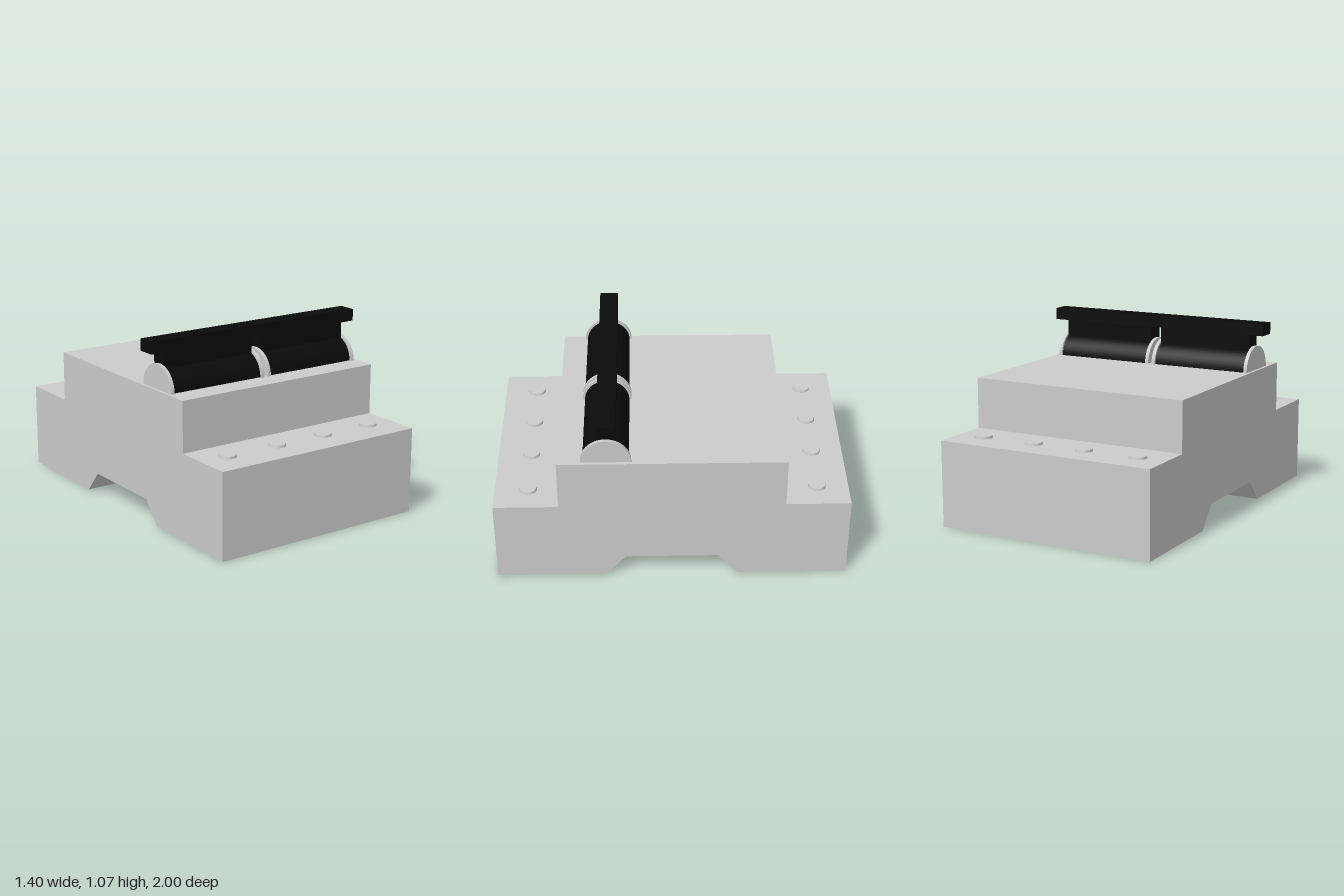
import * as THREE from 'three';
import { toCreasedNormals } from 'three/addons/utils/BufferGeometryUtils.js';

const grey = new THREE.MeshStandardMaterial({ color: 0xcccccc });
const black = new THREE.MeshStandardMaterial({ color: 0x0a0a0a });

export function createModel() {
  const model = new THREE.Group();
  model.name = 'circuitBreaker';

  const add = (name, geometry, material, parent = model) => {
    const mesh = new THREE.Mesh(geometry, material);
    mesh.name = name;
    parent.add(mesh);
    return mesh;
  };

  // Sweeps a side profile (z, y) along x from x0 to x1
  const sweep = (shape, x0, x1) => {
    const g = new THREE.ExtrudeGeometry(shape, { depth: x1 - x0, bevelEnabled: false, curveSegments: 32 });
    g.rotateY(-Math.PI / 2).translate(x1, 0, 0);
    return toCreasedNormals(g, 0.5);
  };

  const box = (x0, x1, y0, y1, z0, z1) =>
    new THREE.BoxGeometry(x1 - x0, y1 - y0, z1 - z0)
      .translate((x0 + x1) / 2, (y0 + y1) / 2, (z0 + z1) / 2);

  // Stepped housing with the rail channel underneath
  const halfProfile = [[0.265, 0.13], [0.375, 0], [1, 0], [1, 0.497], [0.635, 0.497], [0.635, 0.79]];
  const profile = [
    ...halfProfile.map(([z, y]) => new THREE.Vector2(z, y)),
    ...halfProfile.map(([z, y]) => new THREE.Vector2(-z, y)).reverse(),
  ];
  add('housing', sweep(new THREE.Shape(profile), -0.655, 0.655), grey);

  // Terminal screws on both ledges
  for (const z of [0.81, -0.822]) {
    for (const x of [-0.489, -0.158, 0.161, 0.491]) {
      const screw = toCreasedNormals(new THREE.CylinderGeometry(0.047, 0.05, 0.014, 32), 0.5);
      add('terminalScrew', screw, grey).position.set(x, 0.504, z);
    }
  }

  // Two toggles: half drum between two half discs, with an upright lever
  const top = 0.79, axisZ = 0.364;
  const halfDisc = (r) => {
    const s = new THREE.Shape();
    s.absarc(axisZ, top, r, 0, Math.PI, false);
    return s;
  };
  for (const [x0, x1] of [[-0.617, -0.035], [0.03, 0.615]]) {
    const toggle = new THREE.Group();
    toggle.name = 'toggle';
    model.add(toggle);
    add('drum', sweep(halfDisc(0.128), x0, x1), black, toggle);
    add('lever', box(x0, x1, top, 1.001, 0.305, 0.409), black, toggle);
    add('endDisc', sweep(halfDisc(0.14), x0 - 0.021, x0), grey, toggle);
    add('endDisc', sweep(halfDisc(0.14), x1, x1 + 0.021), grey, toggle);
  }

  // Handle bar joining both levers
  add('handleBar', box(-0.702, 0.702, 1.001, 1.07, 0.304, 0.41), black);

  return model;
}
